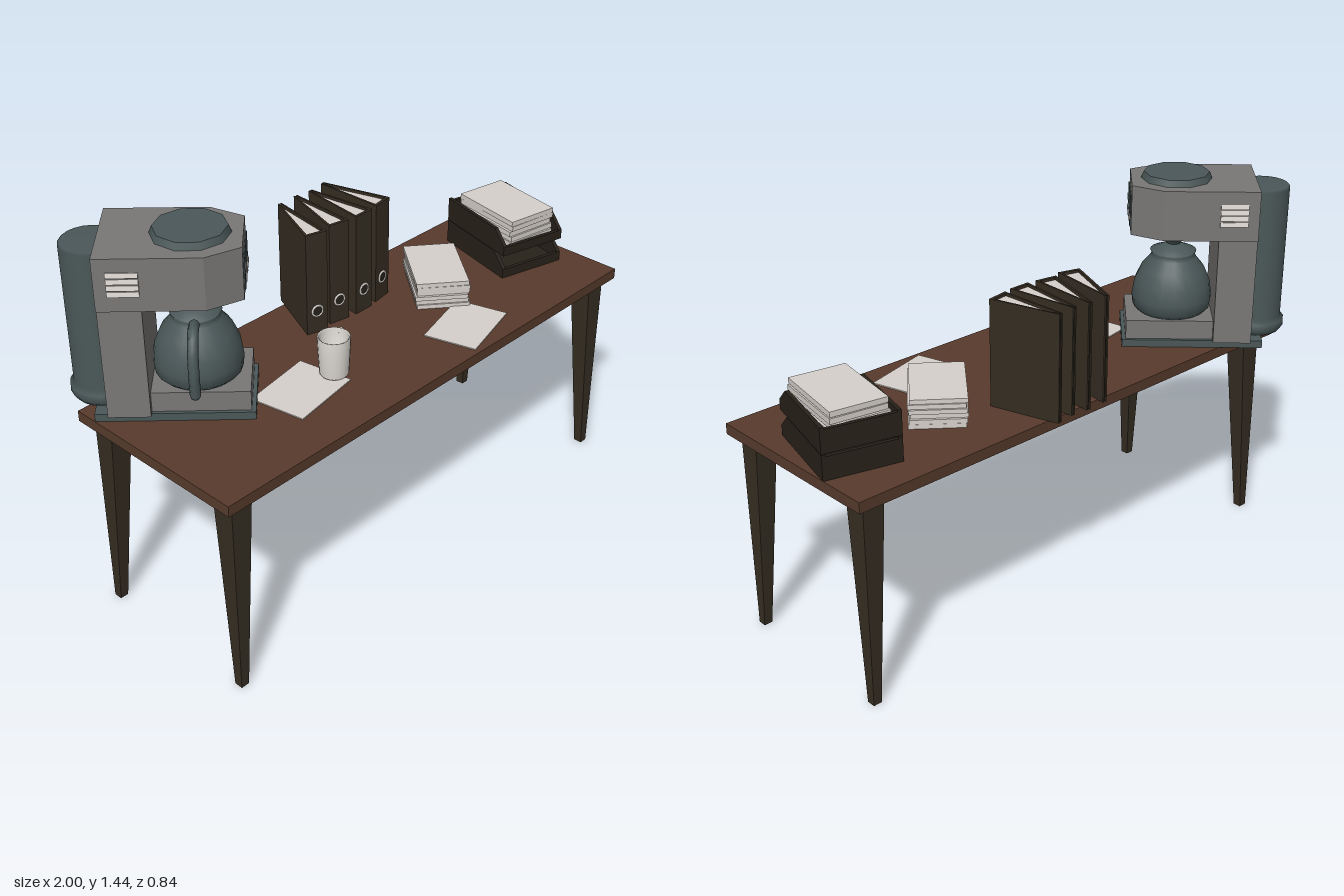
import * as THREE from 'three';

const mat = (name, color) => Object.assign(new THREE.MeshStandardMaterial({ color }), { name });

export function createModel() {
  const wood = mat('brown wood', 0x573a2c);
  const dark = mat('dark brown', 0x352d22);
  const black = mat('tray black brown', 0x272119);
  const grey = mat('machine grey', 0x7a7877);
  const teal = mat('dark teal', 0x4a5758);
  const panelMat = mat('panel slate', 0x364143);
  const white = mat('paper white', 0xd6d0cb);
  const china = mat('mug white', 0xdedad4);
  teal.side = china.side = THREE.DoubleSide;

  const model = new THREE.Group();
  model.name = 'deskWithOfficeItems';
  const TOP = 0.8;

  const add = (parent, name, geo, m, x = 0, y = 0, z = 0, ry = 0) => {
    const mesh = new THREE.Mesh(geo, m);
    mesh.name = name;
    mesh.position.set(x, y, z);
    mesh.rotation.y = ry;
    parent.add(mesh);
    return mesh;
  };
  const box = (w, h, d) => new THREE.BoxGeometry(w, h, d);
  const group = (name, x, y, z, deg) => {
    const g = new THREE.Group();
    g.name = name;
    g.position.set(x, y, z);
    g.rotation.y = THREE.MathUtils.degToRad(deg);
    model.add(g);
    return g;
  };
  // Upright prism from a plan outline of [x, z] points
  const prism = (pts, h) => {
    const s = new THREE.Shape(pts.map(([x, z]) => new THREE.Vector2(x, -z)));
    return new THREE.ExtrudeGeometry(s, { depth: h, bevelEnabled: false }).rotateX(-Math.PI / 2);
  };
  const lathe = (pts, n) => new THREE.LatheGeometry(pts.map(p => new THREE.Vector2(...p)), n);

  // Table: slab and four legs tapering towards their outer corner
  add(model, 'tableTop', box(2, 0.04, 0.73), wood, 0, 0.78, 0.06);
  for (const sx of [-1, 1]) for (const sz of [-1, 1]) {
    const geo = box(0.085, 0.76, 0.085);
    const p = geo.attributes.position;
    for (let i = 0; i < p.count; i++) {
      if (p.getY(i) > 0) continue;
      if (p.getX(i) * sx < 0) p.setX(i, 0.0105 * sx);
      if (p.getZ(i) * sz < 0) p.setZ(i, 0.0105 * sz);
    }
    geo.computeVertexNormals();
    add(model, 'tableLeg', geo, dark, sx * 0.92, 0.38, 0.0625 + sz * 0.29);
  }

  // Coffee machine, turned towards the front right corner
  const cm = group('coffeeMachine', -0.66, TOP, -0.08, 45);
  add(cm, 'basePlate', prism([[-0.145, -0.335], [0.145, -0.335], [0.145, 0.187], [-0.145, 0.187]], 0.028), teal);
  add(cm, 'foot', box(0.264, 0.075, 0.45), grey, 0, 0.0625, -0.052);
  add(cm, 'column', box(0.32, 0.41, 0.14), grey, 0, 0.23, -0.22);
  add(cm, 'head', prism([[-0.17, -0.29], [0.17, -0.29], [0.17, 0.05], [0.105, 0.165],
    [-0.105, 0.165], [-0.17, 0.05]], 0.185), grey, 0, 0.427, 0);
  add(cm, 'headLid', new THREE.CylinderGeometry(0.12, 0.13, 0.025, 10), teal, 0, 0.6235, 0);
  add(cm, 'waterTank', lathe([[0, 0.03], [0.1, 0.03], [0.113, 0.05], [0.112, 0.075], [0.1, 0.09],
    [0.1, 0.585], [0.094, 0.592], [0, 0.592]], 20), teal, 0, 0, -0.315);
  add(cm, 'funnel', lathe([[0.025, 0.36], [0.032, 0.375], [0.085, 0.412], [0.085, 0.43]], 16), teal);
  add(cm, 'carafe', lathe([[0, 0.1], [0.125, 0.1], [0.145, 0.12], [0.15, 0.16], [0.142, 0.215],
    [0.118, 0.27], [0.085, 0.31], [0.08, 0.325], [0.086, 0.335], [0.05, 0.35], [0.022, 0.365], [0, 0.365]], 20), teal);
  const handlePath = new THREE.CatmullRomCurve3([[-0.075, 0.322], [-0.13, 0.328], [-0.175, 0.295],
    [-0.196, 0.22], [-0.192, 0.13]].map(([x, y]) => new THREE.Vector3(x, y, 0)));
  add(cm, 'carafeHandle', new THREE.TubeGeometry(handlePath, 12, 0.018, 8), teal);
  add(cm, 'handleEnd', new THREE.SphereGeometry(0.018, 8, 6), teal, -0.192, 0.13, 0);
  add(cm, 'handleBrace', box(0.06, 0.02, 0.02), teal, -0.165, 0.16, 0);

  // Control panel with knobs and buttons
  add(cm, 'controlPanel', box(0.18, 0.115, 0.006), panelMat, 0, 0.51, 0.167);
  for (const y of [0.52, 0.48]) {
    add(cm, 'knobRing', new THREE.TorusGeometry(0.011, 0.0025, 6, 14), white, -0.06, y, 0.171);
    add(cm, 'knob', box(0.005, 0.014, 0.006), white, -0.06, y, 0.171);
  }
  for (const x of [-0.015, 0.02, 0.055]) {
    add(cm, 'button', box(0.026, 0.016, 0.004), white, x, 0.48, 0.171);
    add(cm, 'buttonFace', box(0.018, 0.009, 0.005), grey, x, 0.48, 0.172);
  }
  // Slats on both sides of the head
  for (const s of [-1, 1]) for (let i = 0; i < 4; i++) {
    const slat = add(cm, 'ventSlat', box(0.012, 0.017, 0.1), white, s * 0.171, 0.49 + i * 0.022, -0.2);
    slat.rotation.z = s * 0.25;
  }

  // Mug
  const mug = group('mug', -0.268, TOP + 0.005, 0.155, 28);
  add(mug, 'mugBody', lathe([[0, 0], [0.046, 0], [0.051, 0.008], [0.056, 0.1], [0.058, 0.148], [0.055, 0.151],
    [0.051, 0.147], [0.046, 0.015], [0, 0.013]], 20), china);
  const ear = new THREE.CatmullRomCurve3([[0.05, 0.125], [0.08, 0.128], [0.1, 0.11], [0.1, 0.07],
    [0.08, 0.042], [0.05, 0.04]].map(([x, y]) => new THREE.Vector3(x, y, 0)));
  add(mug, 'mugHandle', new THREE.TubeGeometry(ear, 16, 0.009, 8), china);

  // Loose sheets
  add(model, 'looseSheet', box(0.28, 0.004, 0.21), white, -0.41, TOP + 0.002, 0.14, 0.17);
  add(model, 'looseSheet', box(0.28, 0.004, 0.2), white, 0.29, TOP + 0.002, 0.272, 0.27);

  // Slightly shuffled pile of paper
  const pile = (parent, y, layers, t, w, d) => {
    for (let i = 0; i < layers; i++) {
      add(parent, 'paperLayer', box(w, t * 0.9, d), white, 0.004 * Math.sin(i * 2.4),
        y + t * (i + 0.5), 0.004 * Math.cos(i * 1.7), 0.03 * Math.sin(i * 3.1));
    }
  };
  pile(group('paperStack', 0.415, TOP, 0.02, 51), 0, 6, 0.018, 0.295, 0.195);

  // Four wedge-shaped binders fanned out
  const cover = [[-0.042, 0], [0.042, 0], [0.008, -0.265], [0.002, -0.265], [0.032, -0.011],
    [-0.032, -0.011], [-0.002, -0.265], [-0.008, -0.265]];
  for (const [x, z, deg] of [[-0.11, -0.08, -16], [0, -0.078, -10], [0.115, -0.066, 0.6], [0.227, -0.08, 9]]) {
    const b = group('binder', x, TOP, z, deg);
    add(b, 'binderCover', prism(cover, 0.395), dark);
    add(b, 'binderPages', prism([[-0.033, -0.01], [0.033, -0.01], [0, -0.255]], 0.375), white, 0, 0.01, 0);
    add(b, 'fingerRing', new THREE.TorusGeometry(0.021, 0.004, 6, 18), white, 0, 0.088, 0.001);
    add(b, 'fingerHole', new THREE.CircleGeometry(0.019, 18), black, 0, 0.088, 0.002);
  }

  // Two stacked letter trays, open at the front
  const W = 0.275, D = 0.36, H = 0.092, t = 0.014;
  const side = new THREE.ExtrudeGeometry(new THREE.Shape([[-D / 2, 0], [D / 2, 0], [D / 2, 0.038],
    [0.12, H], [-D / 2, H]].map(p => new THREE.Vector2(...p))), { depth: t, bevelEnabled: false });
  side.rotateY(-Math.PI / 2).translate(t / 2, 0, 0);
  const trays = group('letterTrays', 0.823, TOP, 0.016, -14.5);
  for (const y of [0, 0.094]) {
    const tray = new THREE.Group();
    tray.name = 'letterTray';
    tray.position.y = y;
    trays.add(tray);
    add(tray, 'trayFloor', box(W - 0.01, 0.01, D - 0.01), black, 0, 0.007, 0);
    for (const s of [-1, 1]) add(tray, 'traySide', side, black, s * (W - t) / 2, 0, 0);
    add(tray, 'trayBack', box(W - 2 * t, H - 0.008, t), black, 0, H / 2 - 0.004, -D / 2 + t / 2);
    add(tray, 'trayLip', box(W - 2 * t, 0.036, t), black, 0, 0.018, D / 2 - t / 2);
  }
  const trayPaper = group('trayPaper', 0.823, TOP, 0.018, -10);
  pile(trayPaper, 0.108, 5, 0.022, 0.205, 0.3);

  return model;
}
